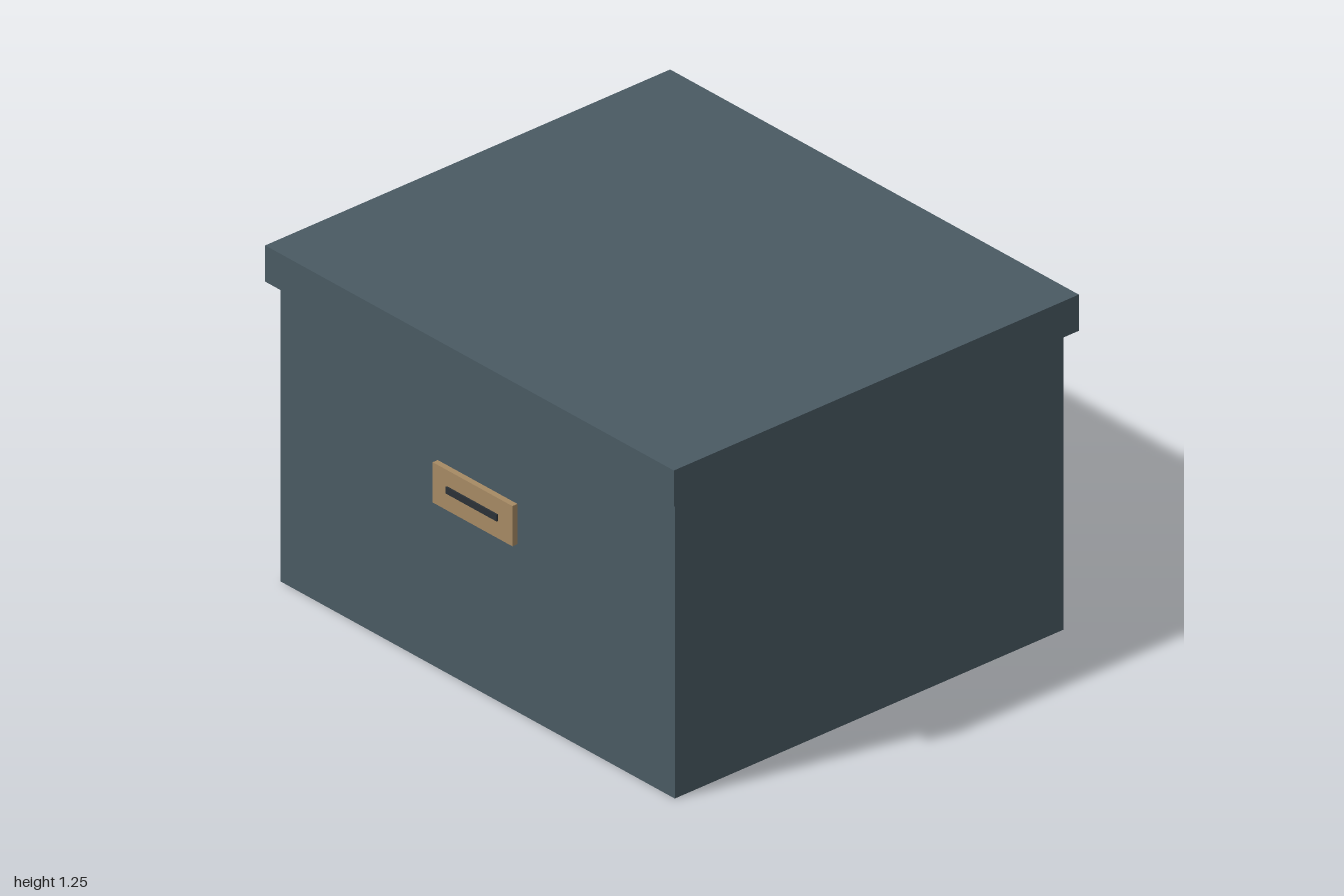
import * as THREE from 'three';

export function createModel() {
  const group = new THREE.Group();
  const board = new THREE.MeshStandardMaterial({ color: 0x4a5a63 });
  const brass = new THREE.MeshStandardMaterial({ color: 0xa68a64 });
  const dark = new THREE.MeshStandardMaterial({ color: 0x2b3136 });

  // Box given by its size, its bottom height and its back z
  function addBox(name, material, [w, h, d], bottom, back) {
    const mesh = new THREE.Mesh(new THREE.BoxGeometry(w, h, d), material);
    mesh.name = name;
    mesh.position.set(0, bottom + h / 2, back + d / 2);
    group.add(mesh);
  }

  // Storage box and its overhanging lid
  addBox('boxBody', board, [1.93, 1.115, 1.69], 0, -0.845);
  addBox('lid', board, [2, 0.135, 1.76], 1.115, -0.88);

  // Label plate on the front with a dark slot
  addBox('labelPlate', brass, [0.39, 0.15, 0.022], 0.625, 0.845);
  addBox('labelSlot', dark, [0.25, 0.025, 0.012], 0.69, 0.861);

  return group;
}
